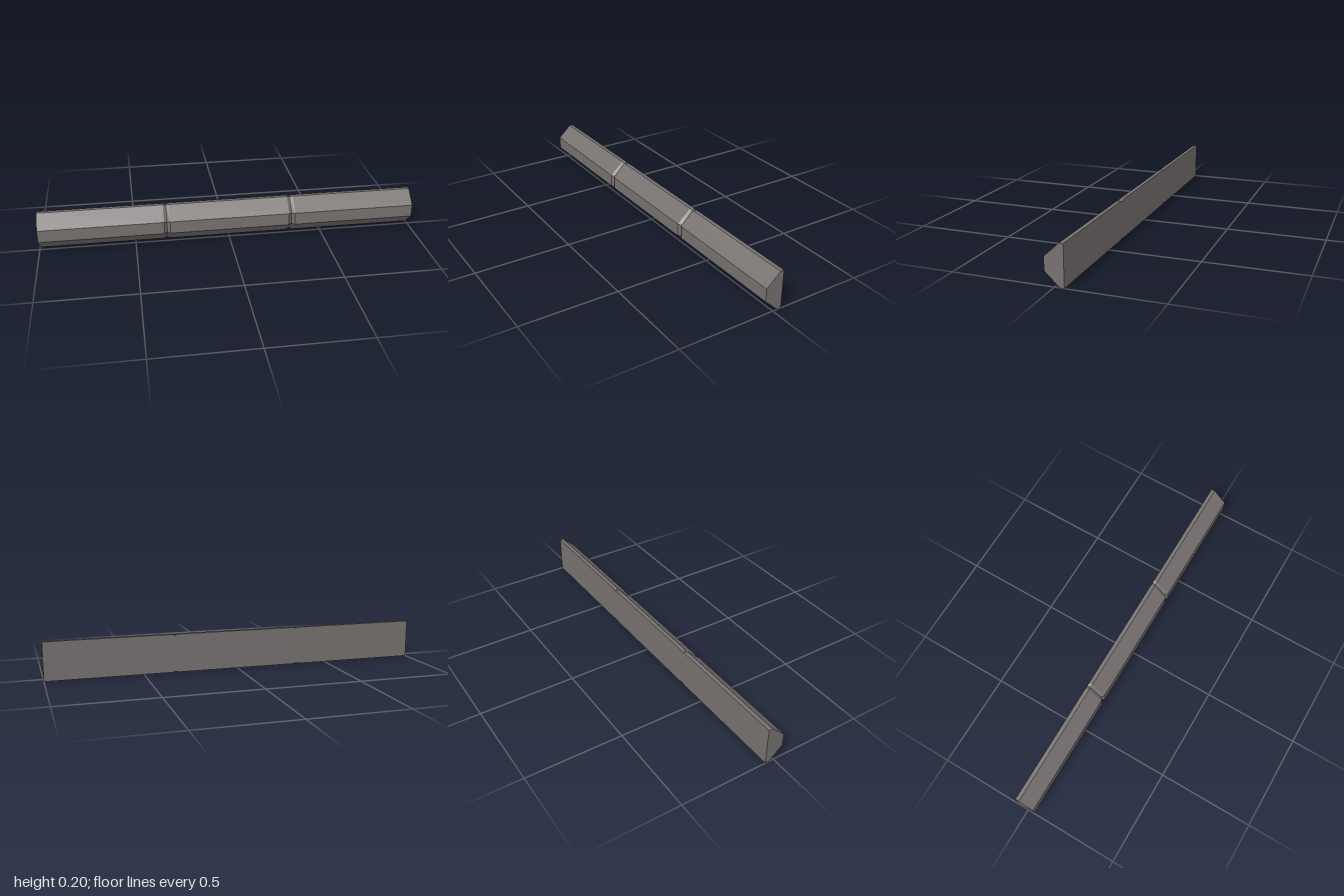
import * as THREE from 'three';

// Cross-sections as [z, y], from the back bottom edge round the front to the back top edge
const FULL = [[-0.046, 0], [-0.026, 0], [0.046, 0.067], [0.046, 0.133], [-0.026, 0.2], [-0.046, 0.2]];
const GROOVE = [[-0.046, 0.006], [-0.03, 0.006], [0.034, 0.07], [0.034, 0.13], [-0.03, 0.194], [-0.046, 0.194]];

// Joins the sections along x into a closed, faceted solid
function loft(sections) {
  const n = sections[0].profile.length;
  const positions = [], index = [];
  for (const { x, profile } of sections) {
    for (const [z, y] of profile) positions.push(x, y, z);
  }
  for (let i = 0; i < sections.length - 1; i++) {
    for (let j = 0; j < n; j++) {
      const a = i * n + j, b = i * n + (j + 1) % n;
      index.push(a, a + n, b, b, a + n, b + n);
    }
  }
  // End caps
  const last = (sections.length - 1) * n;
  for (let j = 1; j < n - 1; j++) {
    index.push(0, j, j + 1);
    index.push(last, last + j + 1, last + j);
  }
  const geometry = new THREE.BufferGeometry();
  geometry.setAttribute('position', new THREE.Float32BufferAttribute(positions, 3));
  geometry.setIndex(index);
  const faceted = geometry.toNonIndexed();
  faceted.computeVertexNormals();
  return faceted;
}

export function createModel() {
  const group = new THREE.Group();
  group.name = 'trimBar';
  const stone = new THREE.MeshStandardMaterial({ color: 0x777270 });
  stone.name = 'warm grey';

  // Bevelled bar with a V-groove at each third of its length
  const sections = [{ x: -1, profile: FULL }];
  for (const x of [-0.333, 0.333]) {
    sections.push(
      { x: x - 0.016, profile: FULL },
      { x, profile: GROOVE },
      { x: x + 0.016, profile: FULL },
    );
  }
  sections.push({ x: 1, profile: FULL });

  const bar = new THREE.Mesh(loft(sections), stone);
  bar.name = 'groovedBar';
  group.add(bar);
  return group;
}
